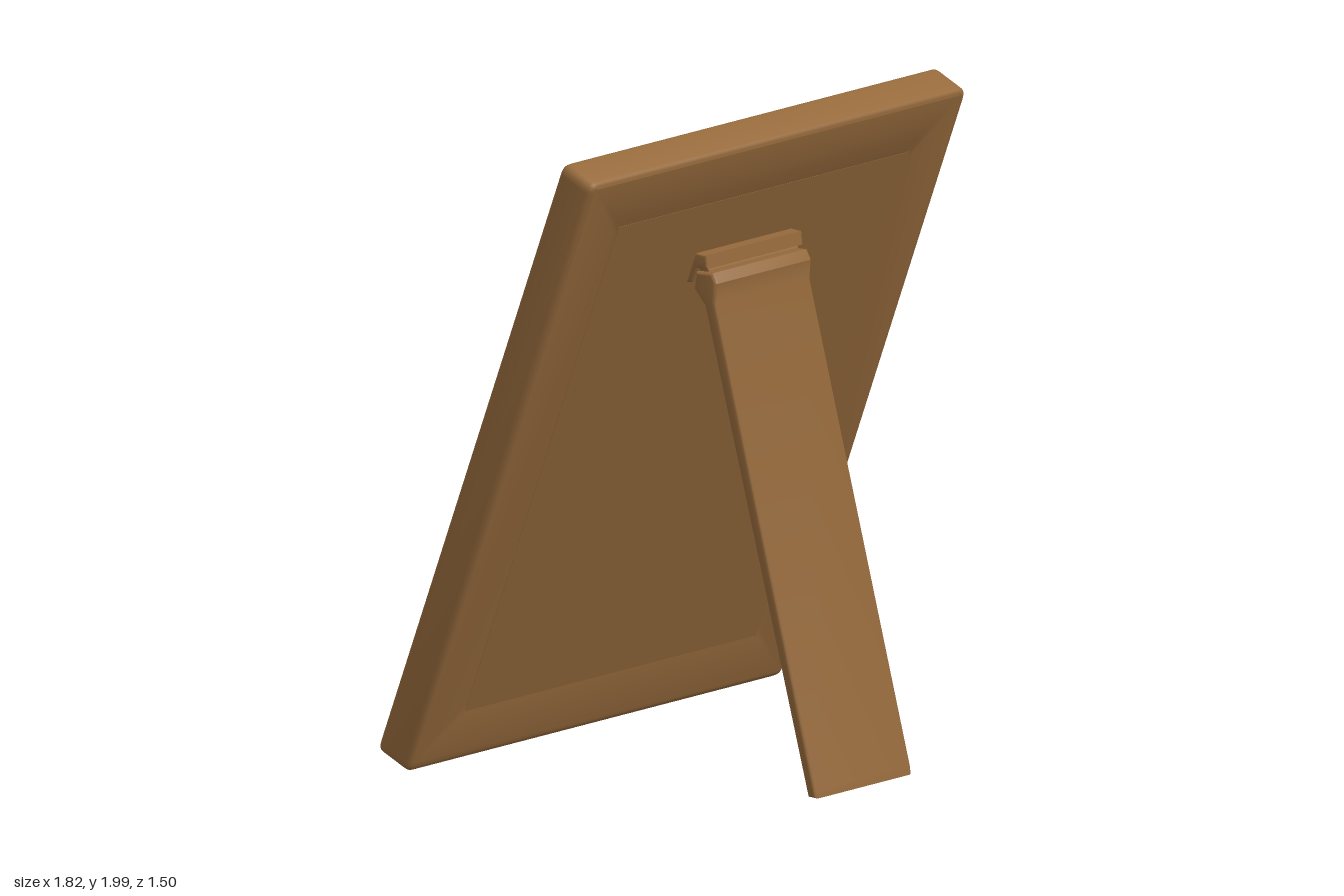
import * as THREE from 'three';
import { toCreasedNormals } from 'three/addons/utils/BufferGeometryUtils.js';

const WIDTH = 1.64, HEIGHT = 2.097, DEPTH = 0.135, BORDER = 0.21, RECESS = 0.033;
const LEAN = THREE.MathUtils.degToRad(21.5);
const TURN = THREE.MathUtils.degToRad(18.1);

const wood = new THREE.MeshStandardMaterial({ color: 0x966a3c });
const grey = new THREE.MeshStandardMaterial({ color: 0xcccccc });
const blue = new THREE.MeshStandardMaterial({ color: 0x92dcf0 });

// Rectangle centred on the origin with rounded corners
function roundedRect(path, w, h, r) {
  const x = w / 2, y = h / 2;
  path.moveTo(-x + r, -y);
  path.lineTo(x - r, -y);
  path.quadraticCurveTo(x, -y, x, -y + r);
  path.lineTo(x, y - r);
  path.quadraticCurveTo(x, y, x - r, y);
  path.lineTo(-x + r, y);
  path.quadraticCurveTo(-x, y, -x, y - r);
  path.lineTo(-x, -y + r);
  path.quadraticCurveTo(-x, -y, -x + r, -y);
  return path;
}

// Bevelled extrusion that keeps the outline's true size, centred in depth
function bevelled(shape, depth, bevel) {
  const geo = new THREE.ExtrudeGeometry(shape, {
    depth: depth - 2 * bevel, bevelEnabled: true, bevelThickness: bevel,
    bevelSize: bevel, bevelOffset: -bevel, bevelSegments: 3, curveSegments: 4,
  });
  geo.translate(0, 0, bevel - depth / 2);
  return toCreasedNormals(geo, 0.6);
}

function add(parent, name, geo, material, x = 0, y = 0, z = 0) {
  const mesh = new THREE.Mesh(geo, material);
  mesh.name = name;
  mesh.position.set(x, y, z);
  parent.add(mesh);
  return mesh;
}

// Side profile of [z, y] points, extruded along x
function profilePart(parent, name, points, width, bevel) {
  const shape = new THREE.Shape(points.map(([z, y]) => new THREE.Vector2(z, y)));
  const geo = bevelled(shape, width, bevel);
  geo.rotateY(-Math.PI / 2);
  return add(parent, name, geo, wood, 0.005);
}

export function createModel() {
  const model = new THREE.Group();
  model.name = 'pictureFrame';
  const turned = new THREE.Group();
  turned.name = 'turnedFrame';
  turned.rotation.y = TURN;
  model.add(turned);

  // Leaning panel: origin on its lower picture-side edge, z runs to the back
  const panel = new THREE.Group();
  panel.name = 'panel';
  panel.position.set(0.022, DEPTH * Math.sin(LEAN), -0.525);
  panel.rotation.x = LEAN;
  turned.add(panel);

  const midY = HEIGHT / 2;
  const openW = WIDTH - 2 * BORDER, openH = HEIGHT - 2 * BORDER;

  // Wooden surround with the window cut out
  const surround = roundedRect(new THREE.Shape(), WIDTH, HEIGHT, 0.035);
  surround.holes.push(roundedRect(new THREE.Path(), openW, openH, 0.02));
  add(panel, 'surround', bevelled(surround, DEPTH, 0.018), wood, 0, midY, DEPTH / 2);

  // Board closing the back
  const backDepth = DEPTH - RECESS - 0.02;
  add(panel, 'backBoard', new THREE.BoxGeometry(openW + 0.05, openH + 0.05, backDepth),
    wood, 0, midY, DEPTH + 0.001 - backDepth / 2);

  // Mat and picture inside the window
  add(panel, 'mat', new THREE.BoxGeometry(openW + 0.01, openH + 0.01, 0.03),
    grey, 0, midY, RECESS + 0.015);
  add(panel, 'picture', new THREE.BoxGeometry(0.91, 1.21, 0.01),
    blue, 0, midY, RECESS + 0.002);

  // Support leg with a thickened head
  profilePart(turned, 'supportLeg', [
    [0.695, 0.01], [0.73, 0.01], [0.727, 0.035], [0.312, 1.47], [0.318, 1.53],
    [0.3, 1.56], [0.235, 1.555], [0.225, 1.5], [0.27, 1.455],
  ], 0.42, 0.01);

  // Hinge bracket fixed to the back, and its pin
  profilePart(turned, 'hingeBracket', [
    [0.18, 1.51], [0.22, 1.52], [0.24, 1.565], [0.282, 1.57], [0.277, 1.612], [0.2, 1.612],
  ], 0.42, 0.008);
  const pin = new THREE.CylinderGeometry(0.02, 0.02, 0.39, 12);
  pin.rotateZ(Math.PI / 2);
  add(turned, 'hingePin', pin, wood, 0.005, 1.555, 0.255);

  return model;
}
